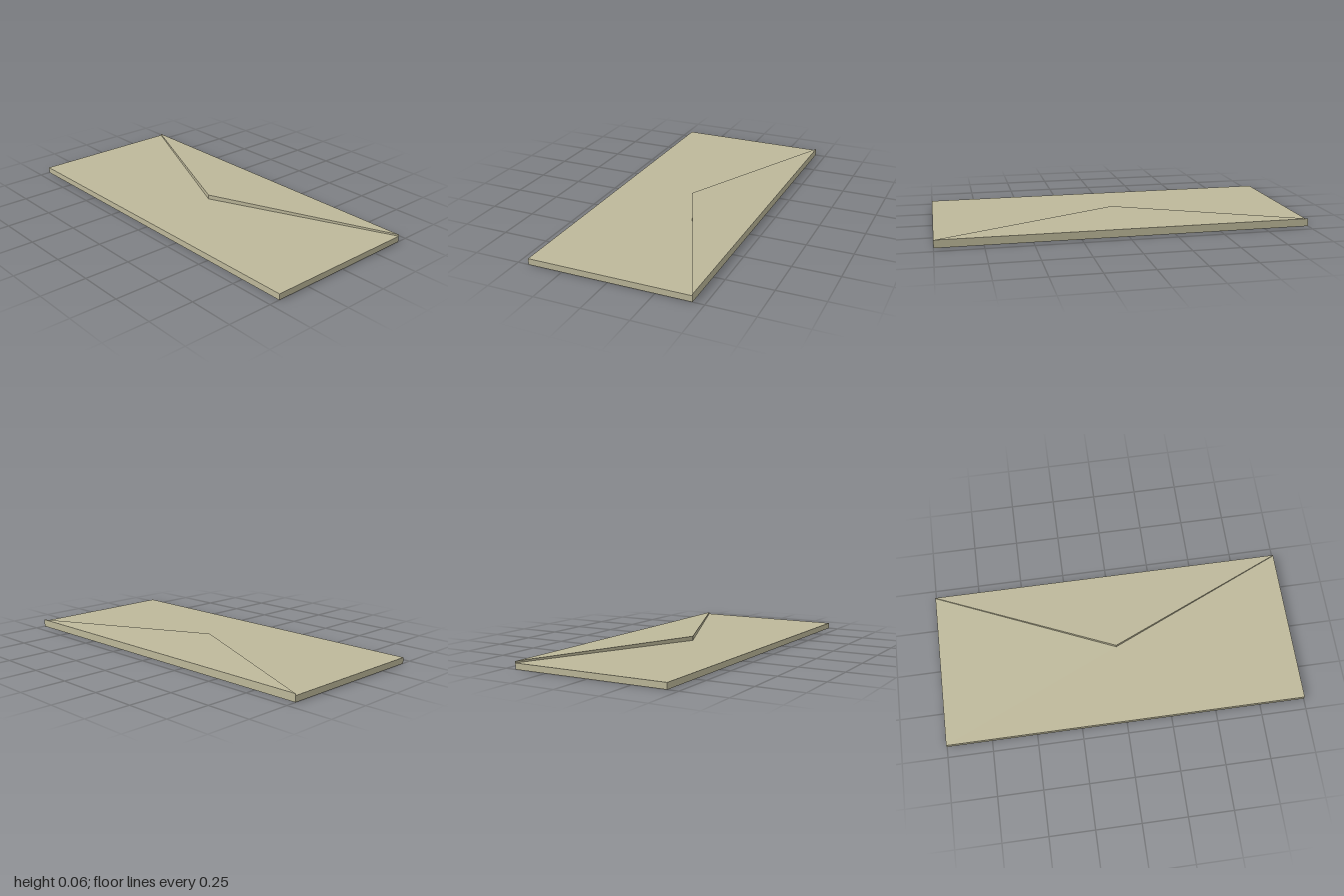
import * as THREE from 'three';

const HALF_W = 1, HALF_D = 0.44, BODY_H = 0.033;

// Triangular flap: a prism whose top rises from the back edge to the raised tip
function flapGeometry(backY, tipY) {
  const shape = new THREE.Shape([
    new THREE.Vector2(-HALF_W, HALF_D),
    new THREE.Vector2(0, 0),
    new THREE.Vector2(HALF_W, HALF_D),
  ]);
  const geo = new THREE.ExtrudeGeometry(shape, { depth: 1, bevelEnabled: false });
  geo.rotateX(-Math.PI / 2);
  const pos = geo.attributes.position;
  for (let i = 0; i < pos.count; i++) {
    const top = THREE.MathUtils.lerp(tipY, backY, -pos.getZ(i) / HALF_D);
    pos.setY(i, pos.getY(i) > 0.5 ? top : BODY_H);
  }
  geo.computeVertexNormals();
  return geo;
}

export function createModel() {
  const group = new THREE.Group();
  group.name = 'envelope';
  const paper = new THREE.MeshStandardMaterial({ color: 0xbdb89a, flatShading: true });

  // Flat rectangular body
  const body = new THREE.Mesh(new THREE.BoxGeometry(HALF_W * 2, BODY_H, HALF_D * 2), paper);
  body.name = 'envelopeBody';
  body.position.y = BODY_H / 2;

  // Slightly lifted closing flap
  const flap = new THREE.Mesh(flapGeometry(0.042, 0.057), paper);
  flap.name = 'envelopeFlap';

  group.add(body, flap);
  return group;
}
